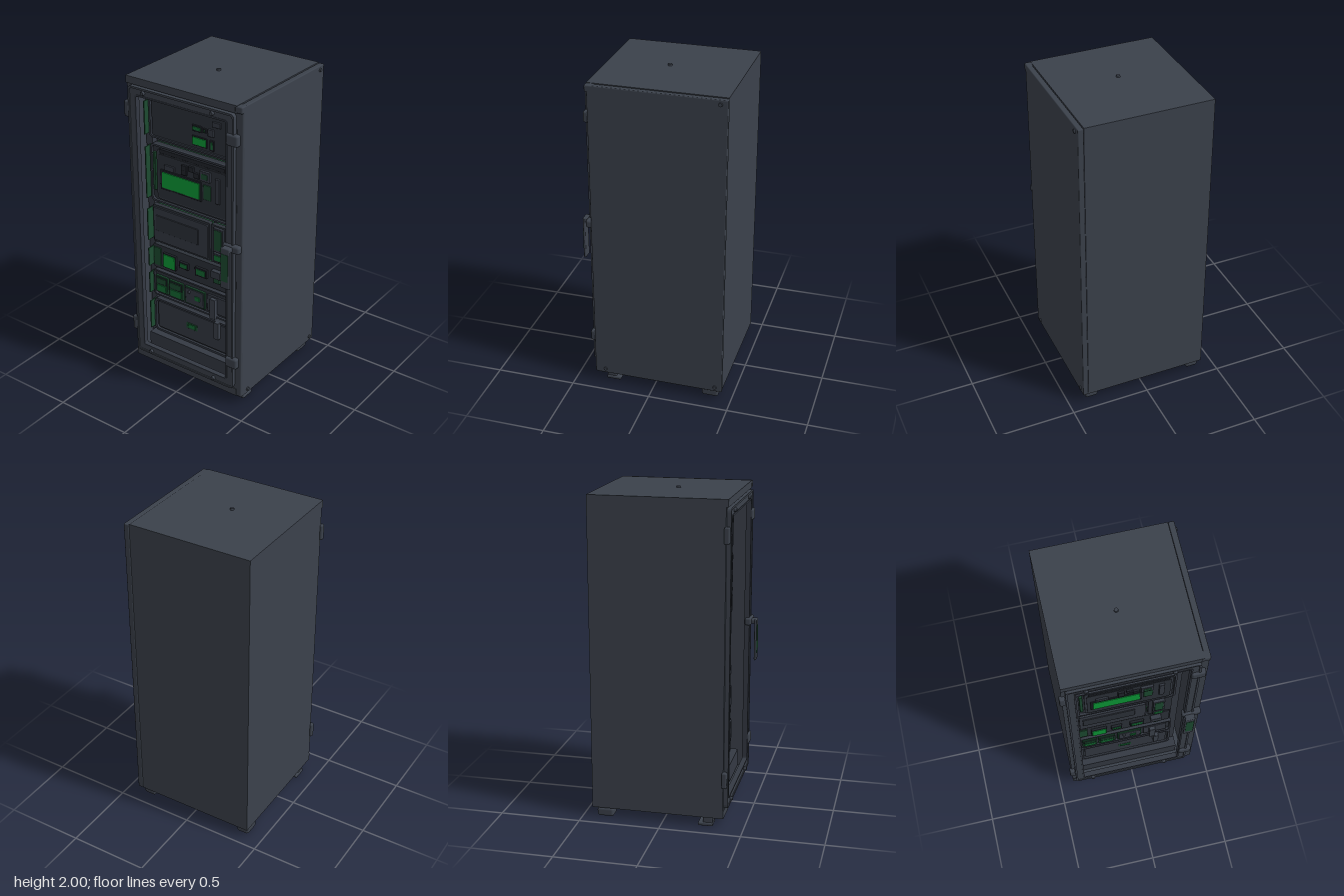
import * as THREE from 'three';
import { RoundedBoxGeometry } from 'three/addons/geometries/RoundedBoxGeometry.js';

const mat = (name, color) => {
  const m = new THREE.MeshStandardMaterial({ color });
  m.name = name;
  return m;
};

export function createModel() {
  const root = new THREE.Group();
  root.name = 'equipmentCabinet';
  const casing = mat('slateCasing', 0x3b414b);
  const trim = mat('darkSlate', 0x343943);
  const face = mat('deviceGrey', 0x2d323a);
  const dark = mat('shadowGrey', 0x20242b);
  const green = mat('brightGreen', 0x0c9a37);
  const mid = mat('midGreen', 0x146a33);
  const deep = mat('deepGreen', 0x1c4a30);

  let target = root;
  const add = (name, geo, m) => {
    const mesh = new THREE.Mesh(geo, m);
    mesh.name = name;
    target.add(mesh);
    return mesh;
  };
  // Box given by its limits, with an optional rounding radius
  const box = (name, m, x0, x1, y0, y1, z0, z1, r = 0) => {
    const s = [x1 - x0, y1 - y0, z1 - z0];
    const geo = r ? new RoundedBoxGeometry(...s, 2, r) : new THREE.BoxGeometry(...s);
    add(name, geo, m).position.set((x0 + x1) / 2, (y0 + y1) / 2, (z0 + z1) / 2);
  };
  const roundRect = (p, x0, x1, y0, y1, r) => {
    p.moveTo(x0 + r, y0);
    p.lineTo(x1 - r, y0);
    p.quadraticCurveTo(x1, y0, x1, y0 + r);
    p.lineTo(x1, y1 - r);
    p.quadraticCurveTo(x1, y1, x1 - r, y1);
    p.lineTo(x0 + r, y1);
    p.quadraticCurveTo(x0, y1, x0, y1 - r);
    p.lineTo(x0, y0 + r);
    p.quadraticCurveTo(x0, y0, x0 + r, y0);
    return p;
  };
  // Rounded plate facing the front, optionally with a window leaving a rim
  const plate = (name, m, x0, x1, y0, y1, z0, z1, r, rim) => {
    const s = roundRect(new THREE.Shape(), x0, x1, y0, y1, r);
    if (rim) s.holes.push(roundRect(new THREE.Path(), x0 + rim, x1 - rim, y0 + rim, y1 - rim, Math.max(r - rim * 0.5, 0.005)));
    const geo = new THREE.ExtrudeGeometry(s, { depth: z1 - z0, bevelEnabled: false, curveSegments: 4 });
    add(name, geo, m).position.z = z0;
  };
  const bolt = (x, y, z, axis, r = 0.014, len = 0.024) => {
    const b = add('bolt', new THREE.CylinderGeometry(r * 0.8, r, len, 8), casing);
    b.position.set(x, y, z);
    if (axis === 'z') b.rotation.x = Math.PI / 2;
    if (axis === 'x') b.rotation.z = -Math.PI / 2;
  };

  // Hollow casing
  box('leftWall', casing, -0.41, -0.375, 0.06, 1.95, -0.44, 0.375);
  box('backPanel', casing, -0.41, 0.375, 0.06, 1.95, -0.44, -0.41);
  box('topPanel', casing, -0.41, 0.374, 1.945, 1.99, -0.44, 0.388);
  box('floorPanel', casing, -0.41, 0.375, 0.06, 0.11, -0.44, 0.378);
  box('innerWall', casing, 0.35, 0.375, 0.1, 1.96, -0.42, 0.375);
  box('sidePanel', casing, 0.376, 0.411, 0.06, 1.987, -0.443, 0.37, 0.006);
  box('cornerPost', casing, 0.365, 0.41, 0.06, 1.985, 0.345, 0.377, 0.008);
  box('topCorner', casing, 0.36, 0.411, 1.947, 1.988, 0.34, 0.39, 0.008);
  box('innerBack', dark, -0.376, 0.351, 0.105, 1.95, 0.14, 0.16);
  box('kickPlate', trim, -0.335, 0.31, 0.12, 0.235, 0.26, 0.335);
  for (const x of [-0.345, 0.285]) box('rackRail', trim, x - 0.022, x + 0.022, 0.11, 1.945, 0.2, 0.27);
  box('rackBack', face, -0.325, 0.265, 0.235, 1.88, 0.16, 0.225);

  // Thin glowing lines in the gaps between devices
  for (const [x0, x1, y] of [[-0.3, 0.23, 1.858], [-0.3, 0.24, 1.567], [-0.12, 0.12, 1.163], [-0.2, 0.2, 0.878], [-0.1, 0.2, 0.695], [-0.3, 0.1, 0.492]])
    box('gapLight', mid, x0, x1, y - 0.004, y + 0.004, 0.22, 0.235);

  // Door frame
  const door = new THREE.Group();
  door.name = 'door';
  root.add(door);
  target = door;
  plate('doorFrame', casing, -0.388, 0.362, 0.118, 1.938, 0.372, 0.395, 0.025, 0.055);
  plate('doorOuterRim', casing, -0.388, 0.362, 0.118, 1.938, 0.395, 0.401, 0.025, 0.012);
  plate('doorInnerRim', trim, -0.342, 0.316, 0.164, 1.892, 0.365, 0.398, 0.018, 0.01);
  for (const x of [-0.275, 0.215]) for (const y of [0.141, 1.912]) bolt(x, y, 0.4, 'z');
  for (const y of [0.31, 1.785]) {
    box('leftHinge', casing, -0.424, -0.39, y - 0.05, y + 0.05, 0.365, 0.398, 0.01);
    box('rightHinge', casing, 0.31, 0.392, y - 0.035, y + 0.035, 0.37, 0.41, 0.012);
  }

  // Handle
  box('handleMount', casing, 0.29, 0.408, 1.08, 1.13, 0.37, 0.412, 0.014);
  box('handleArm', casing, 0.305, 0.365, 1.09, 1.12, 0.4, 0.442, 0.01);
  box('handleBar', casing, 0.302, 0.365, 0.85, 1.12, 0.43, 0.445, 0.007);
  box('handleGlow', deep, 0.31, 0.357, 0.9, 1.08, 0.443, 0.447);

  // Rack devices: a chassis behind a front plate, set back from the door
  const device = (name, x0, x1, y0, y1, r, rim) => {
    target = new THREE.Group();
    target.name = name;
    target.position.z = -0.035;
    root.add(target);
    box('chassis', deep, x0 + 0.01, x1 - 0.01, y0 + 0.01, y1 - 0.01, 0.2, 0.29);
    if (x0 < 0) box('sideGlow', deep, -0.338, -0.331, y0 + 0.02, y1 - 0.02, 0.25, 0.36);
    plate('facePlate', face, x0, x1, y0, y1, 0.285, 0.315, r);
    if (rim) plate('faceRim', trim, x0, x1, y0, y1, 0.314, 0.33, r, rim);
  };
  const part = (name, m, x0, x1, y0, y1, d = 0.012) => box(name, m, x0, x1, y0, y1, 0.31, 0.315 + d, Math.min(0.004, d / 3));

  device('topDevice', -0.325, 0.272, 1.595, 1.845, 0.025, 0.012);
  plate('innerPanel', face, -0.305, 0.245, 1.61, 1.825, 0.31, 0.325, 0.012);
  part('slot', dark, -0.005, 0.065, 1.715, 1.755, 0.018);
  part('slotLight', mid, 0.002, 0.058, 1.724, 1.746, 0.021);
  part('button', dark, 0.075, 0.098, 1.722, 1.75, 0.02);
  part('buttonLight', deep, 0.08, 0.093, 1.727, 1.745, 0.023);
  part('button', trim, 0.11, 0.15, 1.71, 1.755, 0.022);
  part('latch', trim, 0.14, 0.2, 1.775, 1.808, 0.022);
  part('screenFrame', dark, -0.008, 0.1, 1.626, 1.687, 0.016);
  part('screen', green, -0.002, 0.094, 1.633, 1.68, 0.02);
  part('switch', dark, 0.12, 0.152, 1.622, 1.688, 0.018);
  part('switchLight', mid, 0.128, 0.144, 1.632, 1.678, 0.021);

  device('monitorDevice', -0.322, 0.272, 1.175, 1.555, 0.03, 0.012);
  plate('innerPanel', trim, -0.275, 0.25, 1.2, 1.53, 0.31, 0.327, 0.03);
  plate('panelFace', face, -0.262, 0.237, 1.213, 1.5, 0.31, 0.332, 0.02);
  part('vent', dark, -0.25, 0.228, 1.507, 1.535, 0.018);
  part('sideStrip', deep, -0.305, -0.285, 1.25, 1.5, 0.014);
  part('screenFrame', dark, -0.242, 0.062, 1.278, 1.407, 0.024);
  part('screen', green, -0.228, 0.052, 1.29, 1.394, 0.028);
  part('indicator', deep, 0.075, 0.13, 1.3, 1.395, 0.022);
  part('lever', trim, 0.165, 0.198, 1.3, 1.46, 0.03);
  part('bar', trim, -0.21, -0.135, 1.41, 1.445, 0.028);
  for (const [x, y] of [[-0.06, 1.465], [-0.06, 1.435], [-0.01, 1.47], [0.03, 1.44]]) part('key', dark, x - 0.02, x + 0.02, y - 0.017, y + 0.017, 0.03);
  part('knobBlock', trim, 0.055, 0.13, 1.42, 1.485, 0.032);
  part('knobLight', deep, 0.07, 0.115, 1.435, 1.47, 0.035);

  device('wideDevice', -0.325, 0.105, 0.885, 1.14, 0.008);
  plate('innerPanel', trim, -0.315, 0.095, 0.9, 1.125, 0.31, 0.325, 0.008);
  part('displayPanel', face, -0.295, 0.028, 0.972, 1.078, 0.016);
  device('sideModule', 0.115, 0.262, 0.885, 1.14, 0.008);
  part('tallPanel', trim, 0.14, 0.215, 0.97, 1.13, 0.018);
  part('tallLight', deep, 0.15, 0.205, 0.985, 1.12, 0.021);
  part('smallPanel', trim, 0.14, 0.215, 0.905, 0.96, 0.018);
  part('smallLight', mid, 0.15, 0.205, 0.913, 0.95, 0.021);

  device('controlDevice', -0.33, 0.255, 0.7, 0.865, 0.008);
  part('leftLight', deep, -0.325, -0.27, 0.72, 0.845, 0.006);
  part('screenFrame', dark, -0.248, -0.147, 0.727, 0.828, 0.015);
  part('screen', green, -0.242, -0.153, 0.733, 0.822, 0.019);
  part('socket', dark, -0.12, -0.05, 0.765, 0.81, 0.016);
  part('socketLight', mid, -0.112, -0.058, 0.773, 0.802, 0.019);
  part('socket', dark, 0, 0.09, 0.755, 0.815, 0.016);
  part('socketLight', mid, 0.01, 0.08, 0.765, 0.805, 0.019);
  part('knob', trim, 0.13, 0.2, 0.79, 0.84, 0.03);
  part('knobLight', deep, 0.145, 0.19, 0.755, 0.8, 0.022);

  device('switchDevice', -0.325, 0.27, 0.505, 0.69, 0.025, 0.01);
  for (const [x0, x1] of [[-0.31, -0.215], [-0.205, -0.095]]) {
    part('switchBlock', deep, x0, x1, 0.53, 0.65, 0.014);
    part('switchEdge', dark, x0 + 0.006, x1 - 0.006, 0.592, 0.642, 0.017);
    part('switchLower', mid, x0 + 0.012, x1 - 0.012, 0.54, 0.586, 0.019);
    part('switchUpper', deep, x0 + 0.012, x1 - 0.012, 0.598, 0.636, 0.021);
  }
  part('controlBlock', deep, -0.08, 0.075, 0.53, 0.65, 0.014);
  part('controlFace', trim, -0.072, 0.067, 0.538, 0.642, 0.018);
  bolt(-0.04, 0.62, 0.332, 'z', 0.01);
  part('lightButton', mid, 0, 0.04, 0.575, 0.605, 0.024);
  part('rightPanel', trim, 0.09, 0.24, 0.53, 0.65, 0.012);
  part('lever', casing, 0.125, 0.165, 0.5, 0.64, 0.035);

  device('bottomDevice', -0.325, 0.272, 0.24, 0.48, 0.035, 0.014);
  plate('innerPanel', trim, -0.3, 0.245, 0.265, 0.455, 0.31, 0.323, 0.015);
  part('glowEdge', deep, -0.075, 0.012, 0.34, 0.384, 0.01);
  part('glowLight', mid, -0.06, -0.003, 0.349, 0.375, 0.013);
  part('lever', casing, 0.155, 0.19, 0.36, 0.48, 0.035);

  // Casing bolts and feet
  target = root;
  bolt(-0.022, 1.99, 0.013, 'y', 0.015, 0.02);
  for (const [y, z] of [[1.96, -0.4], [0.09, -0.4], [0.09, 0.31]]) bolt(0.41, y, z, 'x', 0.014, 0.018);
  for (const x of [-0.36, 0.343]) {
    box('frontFootStem', casing, x - 0.035, x + 0.035, 0.015, 0.065, 0.25, 0.31, 0.008);
    box('frontFootPad', casing, x - 0.042, x + 0.042, 0, 0.022, 0.22, 0.312, 0.008);
    box('backFoot', casing, x - 0.042, x + 0.042, 0, 0.055, -0.415, -0.31, 0.016);
    box('backFootStem', casing, x - 0.03, x + 0.03, 0.04, 0.065, -0.395, -0.33);
  }
  return root;
}
